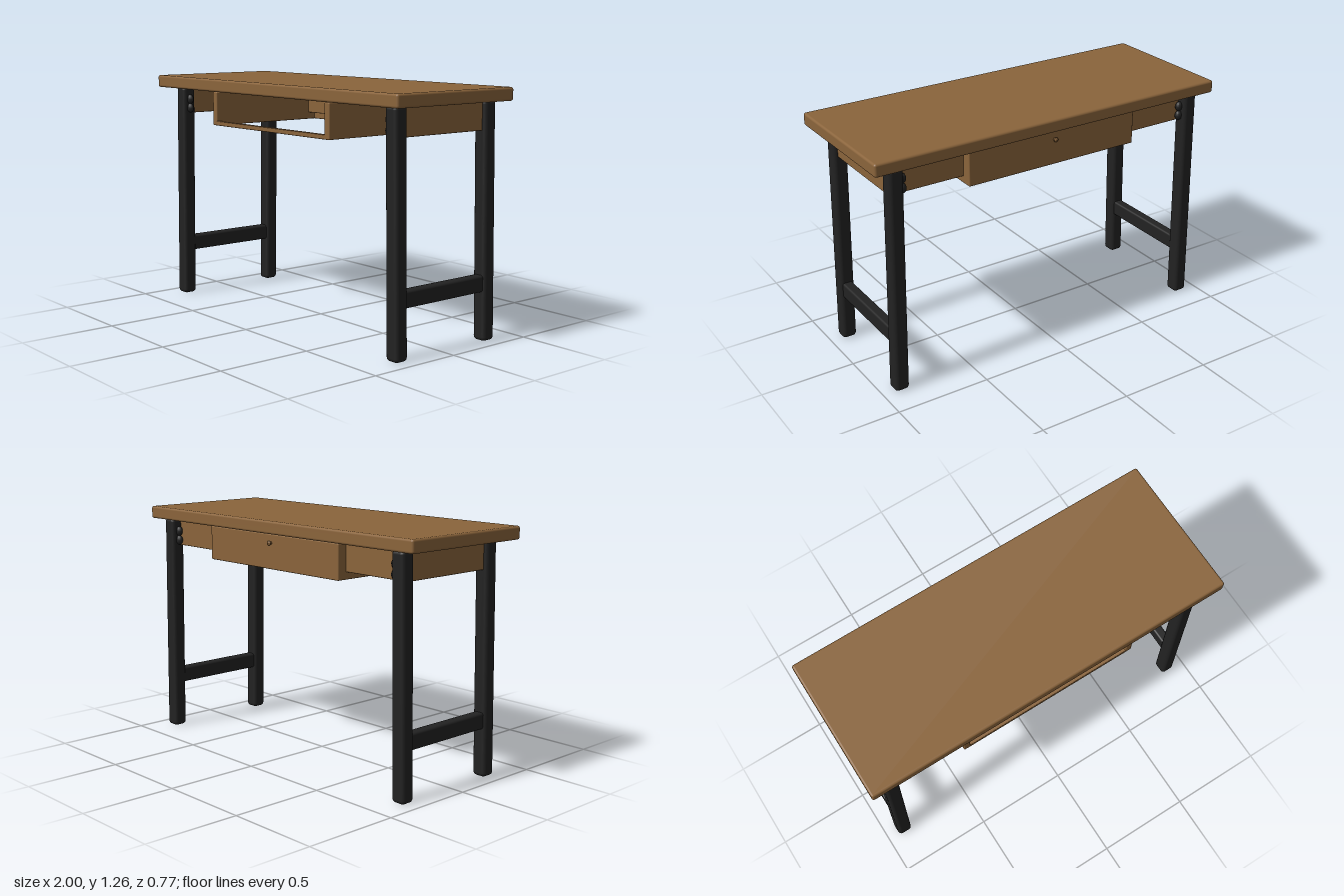
import * as THREE from 'three';
import { RoundedBoxGeometry } from 'three/addons/geometries/RoundedBoxGeometry.js';

export function createModel() {
  const desk = new THREE.Group();
  desk.name = 'desk';
  const wood = new THREE.MeshStandardMaterial({ color: 0x8a643b });
  wood.name = 'brown wood';
  const black = new THREE.MeshStandardMaterial({ color: 0x222222 });
  black.name = 'black paint';

  // Rounded block given by its lower and upper bounds on each axis
  function block(name, material, [x0, x1], [y0, y1], [z0, z1], radius = 0.004) {
    const geometry = new RoundedBoxGeometry(x1 - x0, y1 - y0, z1 - z0, 3, radius);
    const mesh = new THREE.Mesh(geometry, material);
    mesh.name = name;
    mesh.position.set((x0 + x1) / 2, (y0 + y1) / 2, (z0 + z1) / 2);
    desk.add(mesh);
    return mesh;
  }
  const mirrored = (s, a, b) => (s > 0 ? [a, b] : [-b, -a]);

  block('tableTop', wood, [-1, 1], [1.195, 1.262], [-0.383, 0.383], 0.012);

  for (const s of [-1, 1]) {
    const side = s > 0 ? 'left' : 'right';

    // Legs, splayed slightly outwards towards the floor
    for (const [end, z] of [['Front', 0.275], ['Back', -0.315]]) {
      const leg = block(side + end + 'Leg', black, mirrored(s, 0.848, 0.926), [0, 1.2], [z - 0.039, z + 0.039], 0.02);
      const p = leg.geometry.attributes.position;
      for (let i = 0; i < p.count; i++) p.setX(i, p.getX(i) - s * p.getY(i) * 0.018);
      leg.geometry.computeBoundingSphere();

      // Bolt heads near the top, on the inner face
      for (const y of [1.08, 1.13]) {
        const bolt = new THREE.Mesh(new THREE.SphereGeometry(0.022, 12, 8), black);
        bolt.name = side + end + 'Bolt';
        bolt.scale.set(1, 1.2, 0.8);
        bolt.position.set(s * 0.832, y, z);
        desk.add(bolt);
      }
    }

    // Low stretcher and side apron between front and back legs
    block(side + 'Stretcher', black, mirrored(s, 0.865, 0.92), [0.25, 0.335], [-0.29, 0.25], 0.012);
    block(side + 'Apron', wood, mirrored(s, 0.855, 0.895), [1.05, 1.2], [-0.29, 0.25]);

    // Drawer side, open towards the front
    block(side + 'DrawerSide', wood, mirrored(s, 0.455, 0.492), [1.012, 1.192], [-0.34, 0.352], 0.006);
  }

  // Back apron and the drawer set into it
  block('backApron', wood, [-0.85, 0.85], [1.05, 1.2], [-0.3, -0.28]);
  block('drawerFace', wood, [-0.492, 0.492], [1.012, 1.192], [-0.352, -0.325], 0.006);
  block('drawerRail', wood, [-0.47, 0.47], [1.012, 1.036], [0.33, 0.352]);

  // Turned drawer knob
  const profile = [[0, 0], [0.008, 0], [0.006, 0.008], [0.012, 0.012], [0.011, 0.018], [0, 0.021]]
    .map(([r, h]) => new THREE.Vector2(r, h));
  const knob = new THREE.Mesh(new THREE.LatheGeometry(profile, 16), wood);
  knob.name = 'drawerKnob';
  knob.rotation.x = -Math.PI / 2;
  knob.position.set(0, 1.147, -0.351);
  desk.add(knob);

  return desk;
}
